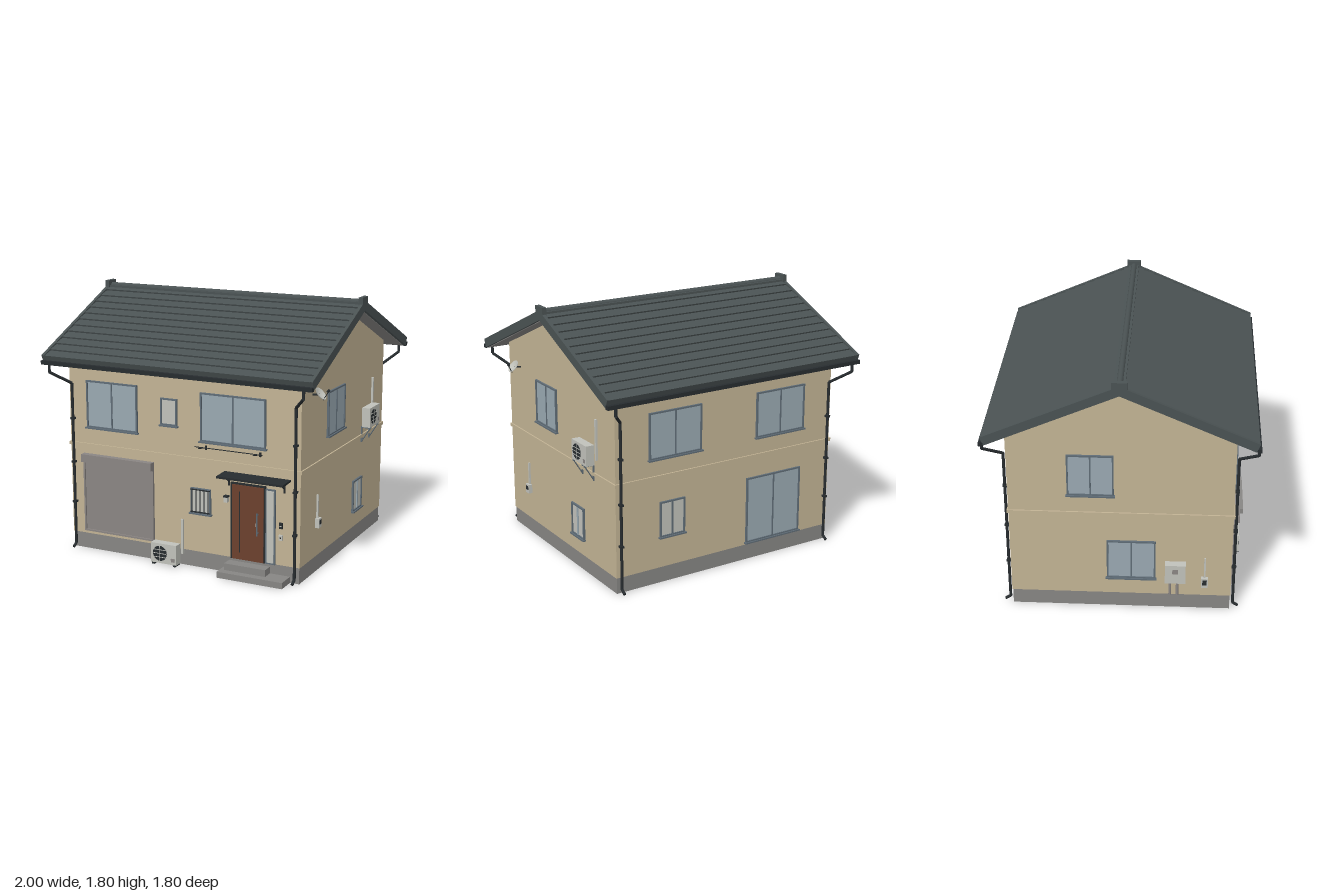
import * as THREE from 'three';

const mat = (name, color) => Object.assign(new THREE.MeshStandardMaterial({ color }), { name });
const M = {
  wall: mat('sandWall', 0xc2b394),
  roof: mat('slateRoof', 0x4a5253),
  stone: mat('concreteGrey', 0x868583),
  shutter: mat('shutterGrey', 0x8a8583),
  glass: mat('blueGlass', 0x99a8b1),
  pale: mat('paleGrey', 0xc0c1ba),
  frame: mat('frameBlueGrey', 0x5f6c76),
  dark: mat('darkMetal', 0x272c2f),
  door: mat('doorBrown', 0x6b402e),
};
const W = 0.87, D = 0.75;

function add(parent, name, geo, material) {
  const m = new THREE.Mesh(geo, material);
  m.name = name;
  parent.add(m);
  return m;
}

// box given by its limits on each axis
function box(parent, name, material, x0, x1, y0, y1, z0, z1) {
  const m = add(parent, name, new THREE.BoxGeometry(x1 - x0, y1 - y0, z1 - z0), material);
  m.position.set((x0 + x1) / 2, (y0 + y1) / 2, (z0 + z1) / 2);
  return m;
}

// round bar between two points
function rod(parent, name, material, a, b, r) {
  const p = new THREE.Vector3(...a), q = new THREE.Vector3(...b);
  const m = add(parent, name, new THREE.CylinderGeometry(r, r, p.distanceTo(q), 10), material);
  m.position.copy(p).add(q).multiplyScalar(0.5);
  m.quaternion.setFromUnitVectors(new THREE.Vector3(0, 1, 0), q.sub(p).normalize());
  return m;
}

// [z, y] outline swept along x from x0 to x1
function sweep(parent, name, material, pts, x0, x1) {
  const shape = new THREE.Shape(pts.map(p => new THREE.Vector2(...p)));
  const g = new THREE.ExtrudeGeometry(shape, { depth: x1 - x0, bevelEnabled: false });
  g.rotateY(Math.PI / 2).translate(x0, 0, 0);
  return add(parent, name, g, material);
}

// group whose local z = 0 is the surface of one outside wall
function side(root, name, angle, dist) {
  const g = new THREE.Group();
  g.name = name;
  g.rotation.y = angle;
  g.position.set(Math.sin(angle) * dist, 0, Math.cos(angle) * dist);
  root.add(g);
  return g;
}

function windowUnit(parent, x0, x1, y0, y1, pane = M.glass, sashes = 2) {
  const g = new THREE.Group(), t = 0.011, d = 0.014;
  g.name = 'window';
  parent.add(g);
  box(g, 'pane', pane, x0 + t, x1 - t, y0 + t, y1 - t, -0.002, 0.006);
  for (const x of [x0, x1 - t]) box(g, 'frameSide', M.frame, x, x + t, y0, y1, 0, d);
  for (const y of [y0, y1 - t]) box(g, 'frameRail', M.frame, x0, x1, y, y + t, 0, d);
  if (sashes > 1) {
    const c = (x0 + x1) / 2;
    box(g, 'sashBar', M.frame, c - 0.005, c + 0.005, y0 + t, y1 - t, 0, 0.011);
  }
  box(g, 'sill', M.frame, x0 - 0.008, x1 + 0.008, y0 - 0.008, y0 + 0.002, 0, 0.024);
}

// outdoor air conditioning unit; x, y is its lower left corner
function airUnit(parent, x, y, z) {
  const g = new THREE.Group();
  g.name = 'airConditioner';
  g.position.set(x, y, z);
  parent.add(g);
  box(g, 'casing', M.pale, 0, 0.195, 0, 0.14, 0, 0.06);
  const fan = add(g, 'fanOpening', new THREE.CylinderGeometry(0.053, 0.053, 0.004, 28), M.dark);
  fan.rotation.x = Math.PI / 2;
  fan.position.set(0.07, 0.07, 0.061);
  for (const o of [-0.026, 0, 0.026]) box(g, 'grilleBar', M.pale, 0.02, 0.12, 0.068 + o, 0.072 + o, 0.06, 0.065);
  box(g, 'grillePost', M.pale, 0.068, 0.072, 0.017, 0.123, 0.06, 0.065);
  box(g, 'valvePlate', M.shutter, 0.155, 0.182, 0.02, 0.045, 0.06, 0.063);
}

// small meter with a conduit rising from it
function meter(parent, x, y0, y1, top) {
  box(parent, 'meterBox', M.pale, x - 0.023, x + 0.023, y0, y1, 0, 0.028);
  box(parent, 'meterDial', M.dark, x - 0.015, x + 0.015, y0 + 0.025, y1 - 0.012, 0.028, 0.031);
  box(parent, 'meterConduit', M.pale, x - 0.006, x + 0.006, y1, top, 0, 0.013);
}

function buildShell(root) {
  box(root, 'foundation', M.stone, -W + 0.005, W - 0.005, 0, 0.112, -D + 0.005, D - 0.005);
  sweep(root, 'walls', M.wall, [[-D, 0.112], [D, 0.112], [D, 1.384], [0, 1.708], [-D, 1.384]], -W, W);
  box(root, 'beltCourse', M.wall, -W - 0.01, W + 0.01, 0.745, 0.768, -D - 0.01, D + 0.01);
}

function buildRoof(root) {
  // stepped tile courses, eave to ridge
  const n = 12, lip = 0.011, half = [];
  const at = (t, o) => [0.888 * (1 - t) - 0.4 * o, 1.386 + 0.386 * t - 0.917 * o];
  for (let i = 0; i < n; i++) half.push(at(i / n, 0), at((i + 1) / n, lip));
  half[half.length - 1] = [0, half.at(-1)[1]];
  const mirror = a => a.map(([z, y]) => [-z, y]).reverse();
  sweep(root, 'roofTiles', M.roof,
    [[0, 1.71], [0.866, 1.333], ...half, ...mirror(half.slice(0, -1)), [-0.866, 1.333]], -0.98, 0.98);
  const verge = [[0, 1.708], [0.866, 1.331], [0.89, 1.388], [0, 1.775], [-0.89, 1.388], [-0.866, 1.331]];
  const soffit = [[0, 1.704], [0.865, 1.327], [0.866, 1.334], [0, 1.711], [-0.866, 1.334], [-0.865, 1.327]];
  sweep(root, 'soffit', M.stone, soffit, -0.979, 0.979);
  for (const s of [-1, 1]) {
    const [a, b] = s > 0 ? [0.978, 1] : [-1, -0.978];
    sweep(root, 'vergeBoard', M.roof, verge, a, b);
    box(root, 'ridgeEnd', M.roof, s > 0 ? 0.97 : -1, s > 0 ? 1 : -0.97, 1.74, 1.8, -0.05, 0.05);
    // eave gutters
    box(root, 'gutter', M.dark, -1, 1, 1.325, 1.352, s > 0 ? 0.87 : -0.9, s > 0 ? 0.9 : -0.87);
  }
  // ridge
  box(root, 'ridgeBase', M.roof, -0.97, 0.97, 1.735, 1.766, -0.036, 0.036);
  rod(root, 'ridgeCap', M.roof, [-0.97, 1.763, 0], [0.97, 1.763, 0], 0.021);
  // downpipes at the four corners
  for (const sx of [-1, 1]) for (const sz of [-1, 1]) {
    const path = [[0.94, 1.34, 0.888], [0.94, 1.275, 0.888], [0.84, 1.185, 0.768], [0.84, 0.035, 0.768], [0.84, 0.012, 0.803]]
      .map(([x, y, z]) => [x * sx, y, z * sz]);
    for (let i = 0; i < 4; i++) rod(root, 'downpipe', M.dark, path[i], path[i + 1], 0.01);
    for (const y of [0.33, 0.62, 0.93]) box(root, 'pipeClip', M.dark,
      sx * 0.84 - 0.013, sx * 0.84 + 0.013, y, y + 0.014, sz * 0.766 - 0.016, sz * 0.766 + 0.016);
  }
}

function buildFront(f) {
  windowUnit(f, -0.73, -0.33, 0.885, 1.215);
  windowUnit(f, -0.15, -0.025, 0.965, 1.15, M.pale, 1);
  windowUnit(f, 0.15, 0.625, 0.885, 1.215);
  // laundry rail
  for (const x of [0.19, 0.585]) {
    box(f, 'railMount', M.dark, x - 0.005, x + 0.005, 0.83, 0.86, 0, 0.012);
    rod(f, 'railArm', M.dark, [x, 0.843, 0], [x, 0.866, 0.11], 0.004);
  }
  rod(f, 'laundryPole', M.dark, [0.14, 0.862, 0.07], [0.63, 0.862, 0.07], 0.003);
  // garage shutter
  box(f, 'garageShutter', M.shutter, -0.755, -0.22, 0.14, 0.645, 0, 0.008);
  box(f, 'shutterHousing', M.shutter, -0.765, -0.21, 0.64, 0.695, 0, 0.045);
  for (const x of [-0.765, -0.222]) box(f, 'shutterTrack', M.shutter, x, x + 0.012, 0.135, 0.64, 0, 0.018);
  box(f, 'shutterSill', M.shutter, -0.765, -0.21, 0.135, 0.147, 0, 0.018);
  // air conditioner on the ground
  airUnit(f, -0.2, 0.012, 0.015);
  for (const x of [-0.19, -0.03]) box(f, 'unitFoot', M.dark, x, x + 0.018, 0, 0.012, 0.012, 0.078);
  box(f, 'pipeCover', M.pale, 0, 0.016, 0.08, 0.325, -0.005, 0.014);
  // barred window
  windowUnit(f, 0.075, 0.225, 0.385, 0.56, M.pale, 1);
  for (let i = 0; i < 5; i++) box(f, 'windowBar', M.dark, 0.088 + i * 0.03, 0.093 + i * 0.03, 0.39, 0.555, 0.018, 0.024);
  for (const y of [0.393, 0.548]) box(f, 'barRail', M.dark, 0.078, 0.222, y, y + 0.005, 0.012, 0.024);
  // entrance door and side light
  box(f, 'doorFrame', M.dark, 0.375, 0.627, 0.11, 0.637, -0.01, 0.012);
  box(f, 'door', M.door, 0.388, 0.616, 0.112, 0.625, 0, 0.017);
  box(f, 'doorSlit', M.dark, 0.44, 0.446, 0.16, 0.58, 0.016, 0.019);
  rod(f, 'doorHandle', M.frame, [0.578, 0.3, 0.035], [0.578, 0.455, 0.035], 0.005);
  for (const y of [0.315, 0.44]) rod(f, 'handleStud', M.frame, [0.578, y, 0.015], [0.578, y, 0.035], 0.004);
  box(f, 'doorLock', M.pale, 0.56, 0.57, 0.355, 0.38, 0.016, 0.021);
  box(f, 'sideLightFrame', M.frame, 0.627, 0.697, 0.11, 0.622, 0, 0.011);
  box(f, 'sideLight', M.pale, 0.637, 0.687, 0.12, 0.612, 0.008, 0.014);
  // canopy
  const slab = box(f, 'canopy', M.dark, 0.325, 0.8, 0.686, 0.7, 0, 0.125);
  slab.rotation.x = 0.03;
  for (const x of [0.36, 0.76]) {
    box(f, 'canopyPost', M.dark, x - 0.005, x + 0.005, 0.61, 0.69, 0, 0.01);
    rod(f, 'canopyBrace', M.dark, [x, 0.635, 0.004], [x, 0.686, 0.08], 0.004);
  }
  // porch lamp, intercom and letter slot
  box(f, 'porchLamp', M.pale, 0.332, 0.356, 0.495, 0.53, 0, 0.03);
  box(f, 'lampCap', M.dark, 0.328, 0.36, 0.53, 0.54, 0, 0.034);
  box(f, 'intercom', M.dark, 0.724, 0.748, 0.365, 0.405, 0, 0.012);
  box(f, 'intercomPlate', M.pale, 0.729, 0.743, 0.381, 0.387, 0.011, 0.014);
  box(f, 'bellBox', M.pale, 0.722, 0.749, 0.285, 0.322, 0, 0.014);
  box(f, 'bellButton', M.dark, 0.731, 0.74, 0.3, 0.309, 0.013, 0.016);
  // steps
  box(f, 'lowerStep', M.stone, 0.325, 0.8, 0, 0.042, -0.01, 0.125);
  box(f, 'upperStep', M.stone, 0.355, 0.655, 0.042, 0.088, -0.01, 0.072);
}

function buildRight(r) {
  windowUnit(r, -0.325, -0.025, 0.9, 1.205);
  windowUnit(r, 0.165, 0.335, 0.235, 0.46, M.pale);
  box(r, 'sashOverlap', M.glass, 0.242, 0.258, 0.246, 0.449, 0, 0.013);
  // wall mounted air conditioner
  airUnit(r, 0.305, 0.825, 0.012);
  for (const x of [0.325, 0.475]) {
    box(r, 'bracketRail', M.frame, x - 0.005, x + 0.005, 0.71, 0.825, 0, 0.009);
    box(r, 'bracketArm', M.frame, x - 0.005, x + 0.005, 0.815, 0.825, 0, 0.075);
    rod(r, 'bracketBrace', M.frame, [x, 0.715, 0.005], [x, 0.82, 0.07], 0.004);
  }
  box(r, 'pipeCover', M.pale, 0.512, 0.528, 0.865, 1.145, 0, 0.014);
  meter(r, -0.478, 0.315, 0.38, 0.54);
  // satellite dish
  const bowl = [[0, 0], [0.02, 0.002], [0.036, 0.008], [0.047, 0.015], [0.046, 0.018], [0.034, 0.012], [0.018, 0.006], [0, 0.004]];
  const dish = add(r, 'dish', new THREE.LatheGeometry(bowl.map(p => new THREE.Vector2(...p)), 24), M.pale);
  dish.position.set(-0.575, 1.237, 0.045);
  dish.rotation.set(0.86, 0, 0);
  rod(r, 'dishMount', M.dark, [-0.575, 1.235, 0], [-0.575, 1.24, 0.046], 0.006);
  rod(r, 'dishArm', M.dark, [-0.57, 1.205, 0.07], [-0.558, 1.26, 0.102], 0.003);
  rod(r, 'receiver', M.dark, [-0.558, 1.258, 0.095], [-0.558, 1.272, 0.108], 0.008);
}

function buildBack(b) {
  windowUnit(b, -0.62, -0.215, 0.885, 1.205);
  windowUnit(b, 0.23, 0.635, 0.885, 1.205);
  windowUnit(b, -0.54, -0.345, 0.33, 0.58, M.pale);
  windowUnit(b, 0.16, 0.615, 0.13, 0.605);
}

function buildLeft(l) {
  windowUnit(l, -0.355, -0.045, 0.9, 1.205);
  windowUnit(l, -0.095, 0.235, 0.245, 0.545);
  // electrical cabinet with conduits
  box(l, 'cabinet', M.pale, 0.3, 0.44, 0.24, 0.385, 0, 0.055);
  box(l, 'cabinetLabel', M.shutter, 0.35, 0.39, 0.32, 0.355, 0.054, 0.058);
  for (const x of [0.335, 0.385]) rod(l, 'cabinetConduit', M.shutter, [x, 0.125, 0.018], [x, 0.24, 0.018], 0.01);
  meter(l, 0.57, 0.19, 0.265, 0.42);
}

export function createModel() {
  const root = new THREE.Group();
  root.name = 'house';
  buildShell(root);
  buildRoof(root);
  buildFront(side(root, 'frontSide', 0, D));
  buildRight(side(root, 'plusXSide', Math.PI / 2, W));
  buildBack(side(root, 'backSide', Math.PI, D));
  buildLeft(side(root, 'minusXSide', -Math.PI / 2, W));
  return root;
}
